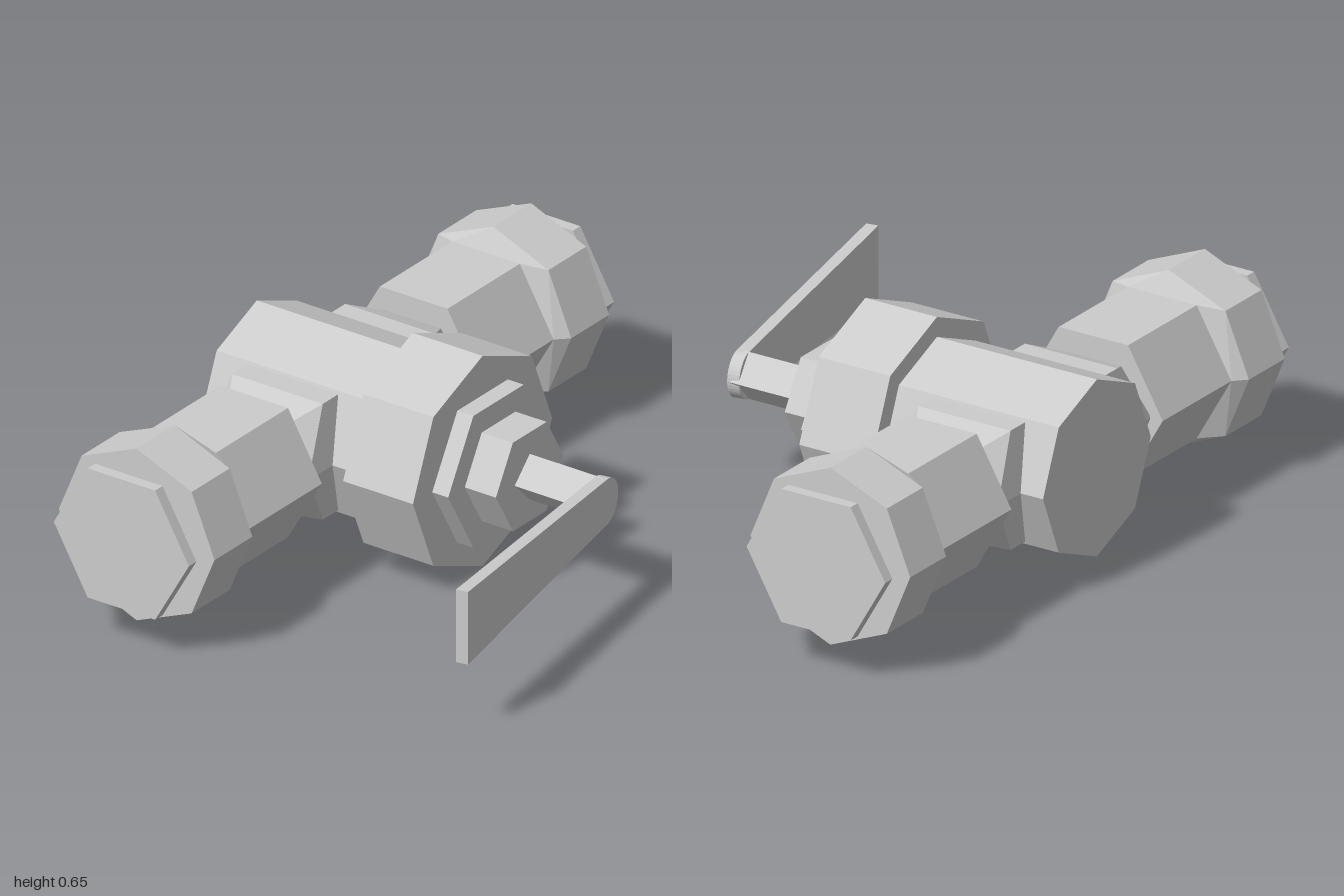
import * as THREE from 'three';
import { ConvexGeometry } from 'three/addons/geometries/ConvexGeometry.js';

const AXIS_Y = 0.33;
const ARM_X = -0.41;
const material = new THREE.MeshStandardMaterial({ color: 0xcccccc, flatShading: true });

function part(name, geometry, parent) {
  const mesh = new THREE.Mesh(geometry, material);
  mesh.name = name;
  parent.add(mesh);
  return mesh;
}

// Prism running along x, with a corner facing +z
function prismX(sides, radius, x0, x1) {
  return new THREE.CylinderGeometry(radius, radius, x1 - x0, sides)
    .rotateZ(-Math.PI / 2)
    .translate((x0 + x1) / 2, 0, 0);
}

// Prism running along z, with a corner facing +x
function prismZ(sides, radius, z0, z1) {
  return new THREE.CylinderGeometry(radius, radius, z1 - z0, sides, 1, false, Math.PI / 2)
    .rotateX(Math.PI / 2)
    .translate(0, 0, (z0 + z1) / 2);
}

function ring(sides, radius, z) {
  return Array.from({ length: sides }, (_, i) => {
    const a = (i / sides) * Math.PI * 2;
    return new THREE.Vector3(Math.cos(a) * radius, Math.sin(a) * radius, z);
  });
}

// Six-cornered neck section with side corners at +-rx and flats of half width fx at +-fy
function neckSection(rx, fx, fy, z) {
  return [[rx, 0], [fx, fy], [-fx, fy], [-rx, 0], [-fx, -fy], [fx, -fy]]
    .map(([x, y]) => new THREE.Vector3(x, y, z));
}

function createArm() {
  const arm = new THREE.Group();
  // Neck flares where it meets the body
  part('neck', new ConvexGeometry([
    ...neckSection(0.19, 0.155, 0.18, 0.15),
    ...neckSection(0.19, 0.155, 0.18, 0.265),
    ...neckSection(0.19, 0.09, 0.13, 0.38),
  ]), arm);
  part('sleeve', prismZ(6, 0.232, 0.375, 0.72), arm);
  // Hexagonal sleeve widens into the octagonal nut
  part('nut', new ConvexGeometry([
    ...ring(6, 0.232, 0.715),
    ...ring(8, 0.267, 0.75),
    ...ring(8, 0.267, 0.928),
  ]), arm);
  part('endNeck', prismZ(6, 0.187, 0.92, 0.97), arm);
  part('endCap', prismZ(6, 0.232, 0.965, 1.0), arm);
  return arm;
}

function createLever() {
  // Flat plate, rounded at the stem and widening to the tip
  const r = 0.07, length = 0.862, tip = 0.113;
  const shape = new THREE.Shape();
  shape.moveTo(0, -r);
  shape.lineTo(length, -tip);
  shape.lineTo(length, tip);
  shape.lineTo(0, r);
  shape.absarc(0, 0, r, Math.PI / 2, Math.PI * 1.5, false);
  return new THREE.ExtrudeGeometry(shape, { depth: 0.037, bevelEnabled: false, curveSegments: 10 });
}

export function createModel() {
  const model = new THREE.Group();
  model.name = 'valve';
  const valve = new THREE.Group();
  valve.name = 'valveAssembly';
  valve.position.y = AXIS_Y;
  model.add(valve);

  // Body and stepped bonnet along x
  part('body', prismX(8, 0.267, -0.675, -0.135), valve);
  part('flange', prismX(8, 0.327, -0.14, 0.1), valve);
  part('bonnetNut', prismX(6, 0.237, 0.095, 0.155), valve);
  part('packingNut', prismX(6, 0.159, 0.15, 0.262), valve);
  part('stem', prismX(4, 0.071, 0.255, 0.505), valve);

  // Lever leans outward toward its tip
  const lean = 0.167;
  const lever = part('lever', createLever(), valve);
  lever.position.x = 0.527;
  lever.rotation.y = lean - Math.PI / 2;

  // Matching pipe arms front and back
  for (const [name, turn] of [['frontArm', 0], ['backArm', Math.PI]]) {
    const arm = createArm();
    arm.name = name;
    arm.position.x = ARM_X;
    arm.rotation.y = turn;
    valve.add(arm);
  }
  return model;
}
